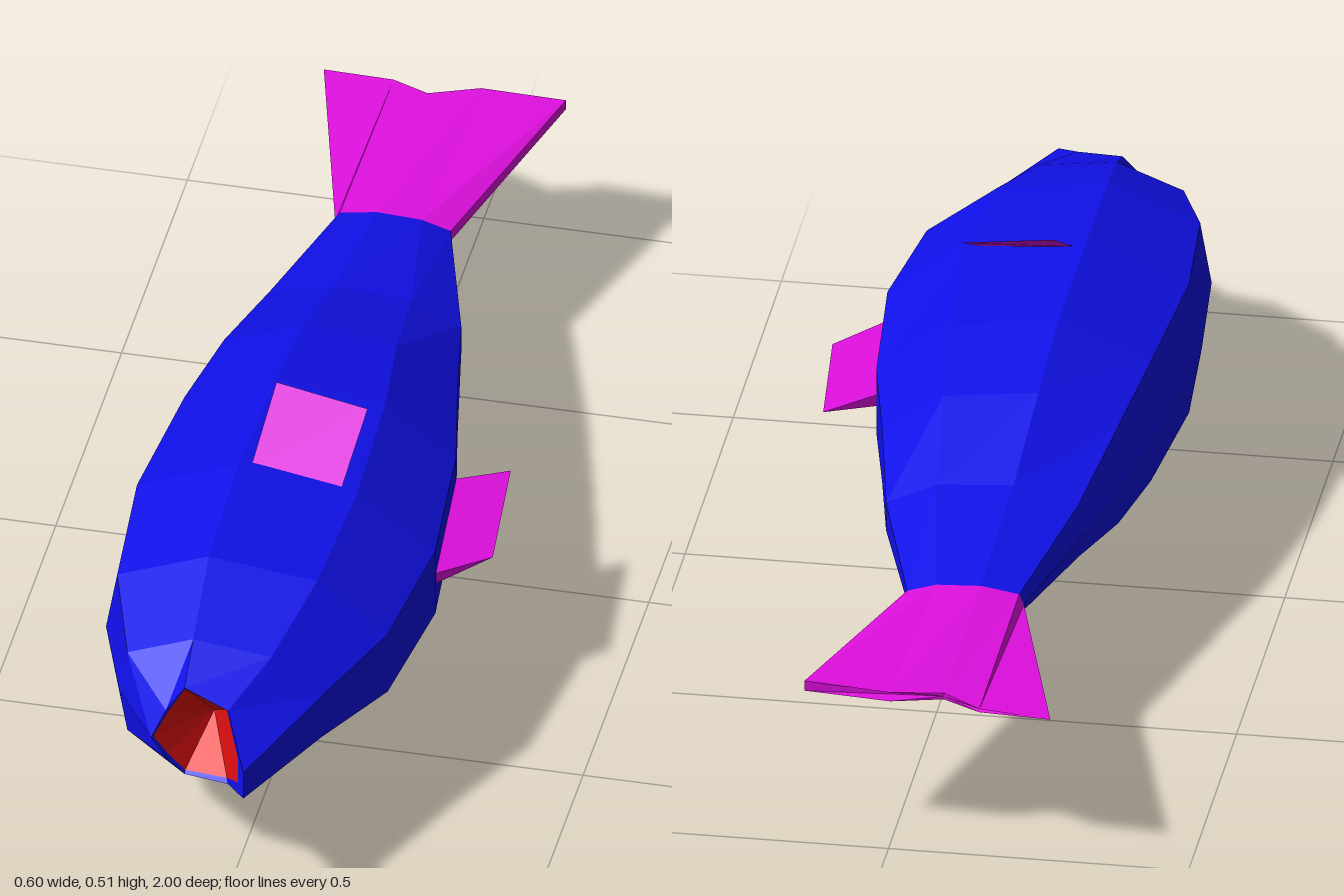
import * as THREE from 'three';

const YC = 0.257; // height of the horizontal mirror plane

// Nine-sided cross-section: fraction across the width and relative height
const ACROSS = [0, 0.04, 0.365, 0.75, 1];
const HEIGHT = [0, 0.643, 1, 0.87, 0.342];

// Complete a half ring (left point, then over the top) with its mirrored underside
function mirrorRing(half) {
  const under = half.slice(1).reverse().map(([x, y, z]) => [x, 2 * YC - y, z]);
  return [...half, ...under];
}

function bodyRing([z, x0, x1, h]) {
  return mirrorRing(ACROSS.map((t, i) => [x0 + t * (x1 - x0), YC + HEIGHT[i] * h, z]));
}

// Skin between consecutive rings
function loft(rings) {
  const out = [];
  for (let i = 0; i + 1 < rings.length; i++) {
    const p = rings[i], q = rings[i + 1], n = p.length;
    for (let j = 0; j < n; j++) {
      const k = (j + 1) % n;
      out.push(p[j], p[k], q[k], p[j], q[k], q[j]);
    }
  }
  return out;
}

// Triangle fan from a centre point round a ring
function fan(centre, ring) {
  return ring.flatMap((p, j) => [centre, p, ring[(j + 1) % ring.length]]);
}

function part(name, points, color) {
  const g = new THREE.BufferGeometry();
  g.setAttribute('position', new THREE.Float32BufferAttribute(points.flat(), 3));
  g.computeVertexNormals();
  const mesh = new THREE.Mesh(g, new THREE.MeshStandardMaterial({
    color, flatShading: true, side: THREE.DoubleSide,
  }));
  mesh.name = name;
  return mesh;
}

export function createModel() {
  const group = new THREE.Group();
  group.name = 'fish';
  const blue = 0x1010e8, magenta = 0xe010e0, red = 0xe81010;

  // Body: slanted lip ring, then stations [z, min x, max x, half height]
  const lip = mirrorRing([
    [-0.14, YC, 0.9], [-0.118, 0.305, 0.885], [-0.09, 0.344, 0.87],
    [-0.01, 0.331, 0.9], [0.038, 0.283, 1],
  ]);
  const stations = [
    [0.78, -0.22, 0.122, 0.122], [0.61, -0.28, 0.195, 0.169],
    [0.37, -0.302, 0.222, 0.185], [0.1, -0.28, 0.197, 0.172],
    [-0.1, -0.255, 0.155, 0.14], [-0.31, -0.22, 0.115, 0.075],
    [-0.59, -0.16, 0.035, 0.029],
  ].map(bodyRing);
  group.add(part('body', loft([lip, ...stations]), blue));

  // Open mouth: inner rim and a cone-shaped throat
  const rim = mirrorRing([
    [-0.137, YC, 0.895], [-0.115, 0.3, 0.88], [-0.09, 0.339, 0.865],
    [-0.014, 0.326, 0.89], [0.02, 0.281, 0.96],
  ]);
  group.add(part('lips', loft([rim, lip]), blue));
  group.add(part('mouth', fan([-0.055, YC, 0.8], rim.slice().reverse()), red));

  // Tail: the last body ring flares into a thin notched edge
  const tailEnd = [
    [-0.27, 0.26, -1], [-0.15, 0.265, -0.99], [-0.085, 0.272, -0.955],
    [0, 0.278, -0.98], [0.145, 0.283, -0.97], [0.145, 0.265, -0.97],
    [0, 0.262, -0.98], [-0.085, 0.26, -0.955], [-0.15, 0.259, -0.99],
  ];
  const tail = loft([stations[stations.length - 1], tailEnd]);
  group.add(part('tail', [...tail, ...fan([-0.085, 0.266, -0.955], tailEnd)], magenta));

  // Upper and lower side fins, mirrored
  for (const s of [1, -1]) {
    const [a, b, c, d] = [
      [-0.092, 0.172, 0.37], [0.063, 0.163, 0.365],
      [0.078, 0.234, 0.235], [-0.078, 0.257, 0.225],
    ].map(([x, y, z]) => [x, YC + s * y, z]);
    const quad = s > 0 ? [a, b, c, a, c, d] : [a, c, b, a, d, c];
    group.add(part(s > 0 ? 'upperFin' : 'lowerFin', quad, magenta));
  }

  // Back fin: wedge that tapers to a sharp outer edge
  const h = 0.011, y = 0.26;
  const f = [0.215, y + h, 0.37], r = [0.19, y + h, 0.1];
  const f2 = [0.215, y - h, 0.37], r2 = [0.19, y - h, 0.1];
  const tf = [0.3, y, 0.285], tr = [0.276, y, 0.04];
  group.add(part('backFin', [
    f, tf, tr, f, tr, r, f2, tr, tf, f2, r2, tr, f, f2, tf, r, tr, r2,
  ], magenta));

  return group;
}
